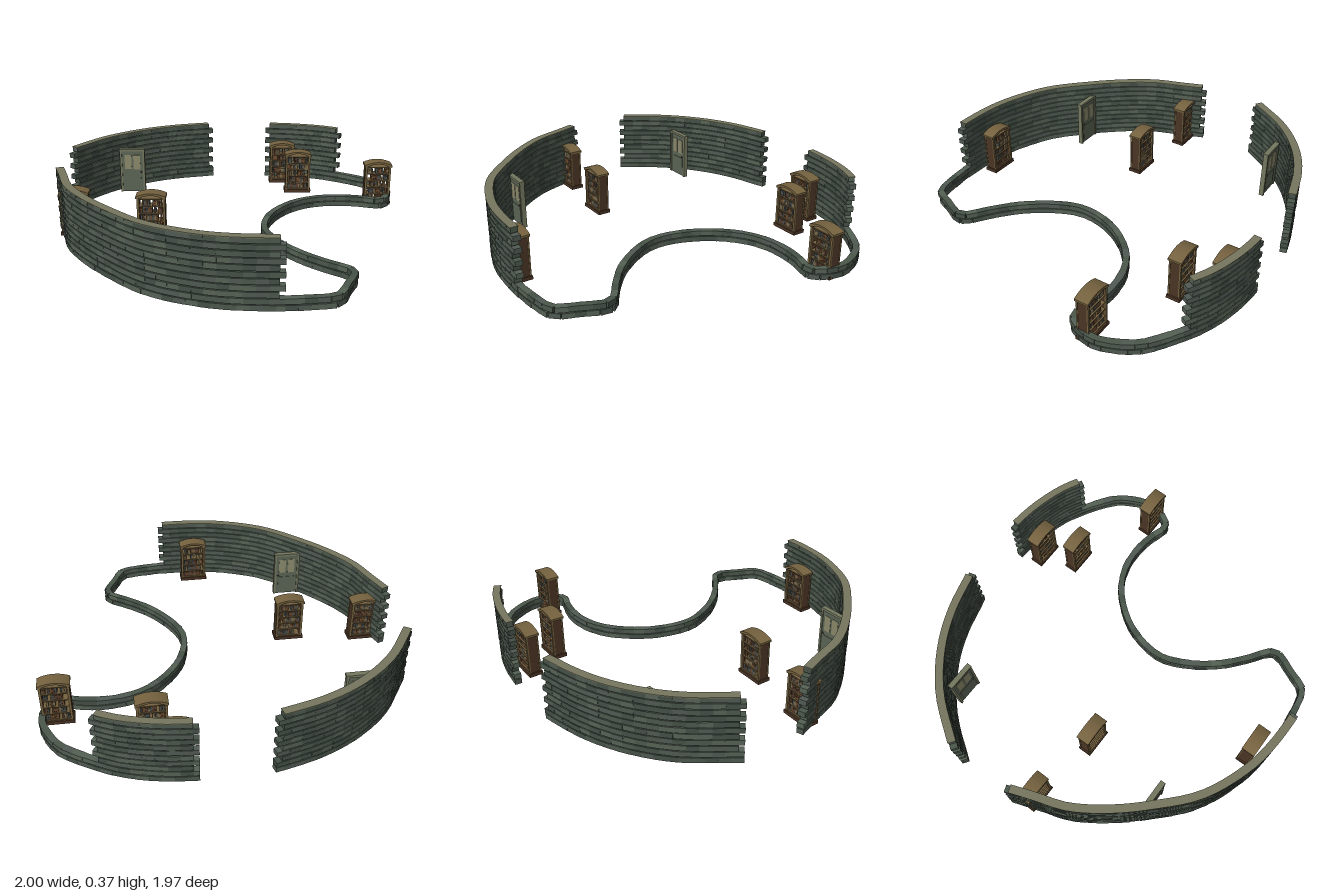
import * as THREE from 'three';
import { mergeGeometries } from 'three/addons/utils/BufferGeometryUtils.js';

const mat = (color) => new THREE.MeshStandardMaterial({ color });
const STONES = [0x4c584c, 0x566255, 0x445046, 0x505a52].map(mat);
const CAP = mat(0x77775f), DARKWOOD = mat(0x4a3424), WOOD = mat(0x75623f);
const BOOKS = [0x5a4030, 0x6b4a2e, 0x4a4f4c, 0x7a6a4c].map(mat);
const DOOR = mat(0x5c6656), FRAME = mat(0x74785f), PANE = mat(0x8c8a6c), METAL = mat(0x4a4436);

let seed = 7;
const rand = () => (seed = (seed * 16807) % 2147483647) / 2147483647;

const ROW = 0.0338, BRICK_H = 0.029, ROWS = 11, LOW_ROWS = 2;

function box(group, name, w, h, d, x, y, z, material) {
  const m = new THREE.Mesh(new THREE.BoxGeometry(w, h, d), material);
  m.position.set(x, y, z);
  m.name = name;
  group.add(m);
  return m;
}

const path = (pts) =>
  new THREE.CatmullRomCurve3(pts.map(([x, z]) => new THREE.Vector3(x, 0, z)), false, 'centripetal');

// Lays one course of stones along a curve between two distances
function course(curve, from, to, y, height, depth, target, brick, offset, jitter) {
  const length = curve.getLength();
  const cuts = [from];
  for (let s = from + brick * (offset ? 0.5 : 1); s < to - brick * 0.3; s += brick) cuts.push(s);
  cuts.push(to);
  for (let i = 0; i < cuts.length - 1; i++) {
    const a = curve.getPointAt(Math.max(0, cuts[i] / length));
    const b = curve.getPointAt(Math.min(1, cuts[i + 1] / length));
    const g = new THREE.BoxGeometry(a.distanceTo(b) + 0.002, height, depth + (rand() - 0.5) * jitter);
    g.rotateY(-Math.atan2(b.z - a.z, b.x - a.x));
    g.translate((a.x + b.x) / 2, y, (a.z + b.z) / 2);
    target[Math.floor(rand() * target.length)].push(g);
  }
}

// Wall with separate courses; upper courses are toothed at the ends
function wall(name, pts, firstRow, lastRow, depth) {
  const group = new THREE.Group();
  group.name = name;
  const curve = path(pts);
  curve.arcLengthDivisions = 600;
  const length = curve.getLength();
  const stones = STONES.map(() => []), cap = [[]];
  for (let r = firstRow; r < lastRow; r++) {
    const inset = r >= LOW_ROWS && r % 2 === 0 ? 0.028 : 0;
    const y = r * ROW + BRICK_H / 2 + 0.003;
    course(curve, inset, length - inset, y, BRICK_H, depth, stones, 0.06, r % 2, 0.005);
    if (r === ROWS - 1)
      course(curve, inset, length - inset, y + BRICK_H / 2, 0.004, depth + 0.005, cap, 0.06, r % 2, 0);
  }
  stones.forEach((list, i) => {
    if (!list.length) return;
    const m = new THREE.Mesh(mergeGeometries(list), STONES[i]);
    m.name = 'wallStones';
    group.add(m);
  });
  if (cap[0].length) {
    const m = new THREE.Mesh(mergeGeometries(cap[0]), CAP);
    m.name = 'wallCap';
    group.add(m);
  }
  return group;
}

// Open bookcase with plinth, shelves, books and an arched top
function bookcase(x, z) {
  const g = new THREE.Group();
  g.name = 'bookcase';
  g.position.set(x, 0, z);
  box(g, 'plinth', 0.17, 0.02, 0.078, 0, 0.01, 0, DARKWOOD);
  for (const s of [-1, 1]) {
    box(g, 'sidePanel', 0.01, 0.225, 0.062, s * 0.071, 0.13, 0, DARKWOOD);
    for (const f of [-1, 1]) box(g, 'post', 0.013, 0.225, 0.008, s * 0.072, 0.13, f * 0.03, WOOD);
  }
  const levels = 5, step = 0.043;
  for (let i = 0; i <= levels; i++) {
    const y = 0.023 + i * step;
    box(g, 'shelf', 0.14, 0.005, 0.06, 0, y, 0, WOOD);
    if (i === levels) break;
    for (let bx = -0.063; bx < 0.056;) {
      const w = 0.008 + rand() * 0.007, h = 0.024 + rand() * 0.009;
      if (rand() > 0.14)
        box(g, 'book', w - 0.001, h, 0.045, bx + w / 2, y + 0.0025 + h / 2, 0, BOOKS[Math.floor(rand() * 4)]);
      bx += w;
    }
  }
  // Arched cornice
  const s = new THREE.Shape();
  s.moveTo(-0.084, 0.243);
  s.lineTo(-0.07, 0.243);
  s.quadraticCurveTo(0, 0.282, 0.07, 0.243);
  s.lineTo(0.084, 0.243);
  s.lineTo(0.084, 0.255);
  s.quadraticCurveTo(0, 0.293, -0.084, 0.255);
  const geo = new THREE.ExtrudeGeometry(s, { depth: 0.078, bevelEnabled: false, curveSegments: 10 });
  geo.translate(0, 0, -0.039);
  const arch = new THREE.Mesh(geo, WOOD);
  arch.name = 'archedTop';
  g.add(arch);
  return g;
}

// Door leaf in a frame, two tall panes above, same on both faces
function door(x, z) {
  const g = new THREE.Group();
  g.name = 'door';
  g.position.set(x, 0, z);
  box(g, 'leaf', 0.14, 0.275, 0.016, 0, 0.1375, 0, DOOR);
  box(g, 'lintel', 0.165, 0.014, 0.03, 0, 0.281, 0, FRAME);
  for (const s of [-1, 1]) {
    box(g, 'jamb', 0.013, 0.275, 0.028, s * 0.0735, 0.1375, 0, FRAME);
    box(g, 'pane', 0.044, 0.095, 0.021, s * 0.028, 0.2, 0, PANE);
    box(g, 'lowerPanel', 0.105, 0.095, 0.004, 0, 0.075, s * 0.009, DOOR);
    const knob = new THREE.Mesh(new THREE.SphereGeometry(0.006, 10, 8), METAL);
    knob.position.set(0.055, 0.135, s * 0.014);
    knob.name = 'knob';
    g.add(knob);
  }
  return g;
}

export function createModel() {
  const model = new THREE.Group();
  model.name = 'walledRoom';

  const front = [[-0.985, -0.03], [-0.93, 0.12], [-0.87, 0.29], [-0.75, 0.47], [-0.61, 0.625], [-0.4, 0.81],
    [-0.13, 0.923], [0.05, 0.952], [0.25, 0.957]];
  const backLeft = [[-0.985, -0.38], [-0.8, -0.635], [-0.6, -0.8], [-0.4, -0.9], [-0.15, -0.97]];
  const backRight = [[0.215, -0.97], [0.35, -0.957], [0.48, -0.93], [0.6, -0.89], [0.705, -0.835]];
  const low = [[0.25, 0.957], [0.38, 0.945], [0.49, 0.925], [0.515, 0.905], [0.56, 0.8], [0.61, 0.685],
    [0.6, 0.645], [0.48, 0.555], [0.35, 0.44], [0.235, 0.28], [0.178, 0.12], [0.225, -0.105], [0.37, -0.295],
    [0.51, -0.372], [0.66, -0.392], [0.8, -0.372], [0.88, -0.345], [0.915, -0.35], [0.965, -0.44], [0.972, -0.53],
    [0.89, -0.7], [0.8, -0.775], [0.705, -0.835]];

  model.add(wall('frontWall', front, 0, ROWS, 0.04));
  model.add(wall('backLeftWall', backLeft, 0, ROWS, 0.04));
  model.add(wall('backRightWall', backRight, 0, ROWS, 0.036));
  model.add(wall('lowWall', low, 0, LOW_ROWS, 0.036));

  for (const [x, z] of [[0.322, -0.855], [0.415, -0.66], [0.895, -0.45], [-0.887, 0.065], [-0.45, 0.12], [0.035, 0.87]])
    model.add(bookcase(x, z));
  for (const [x, z] of [[-0.655, -0.642], [-0.54, 0.602]]) model.add(door(x, z));
  return model;
}
